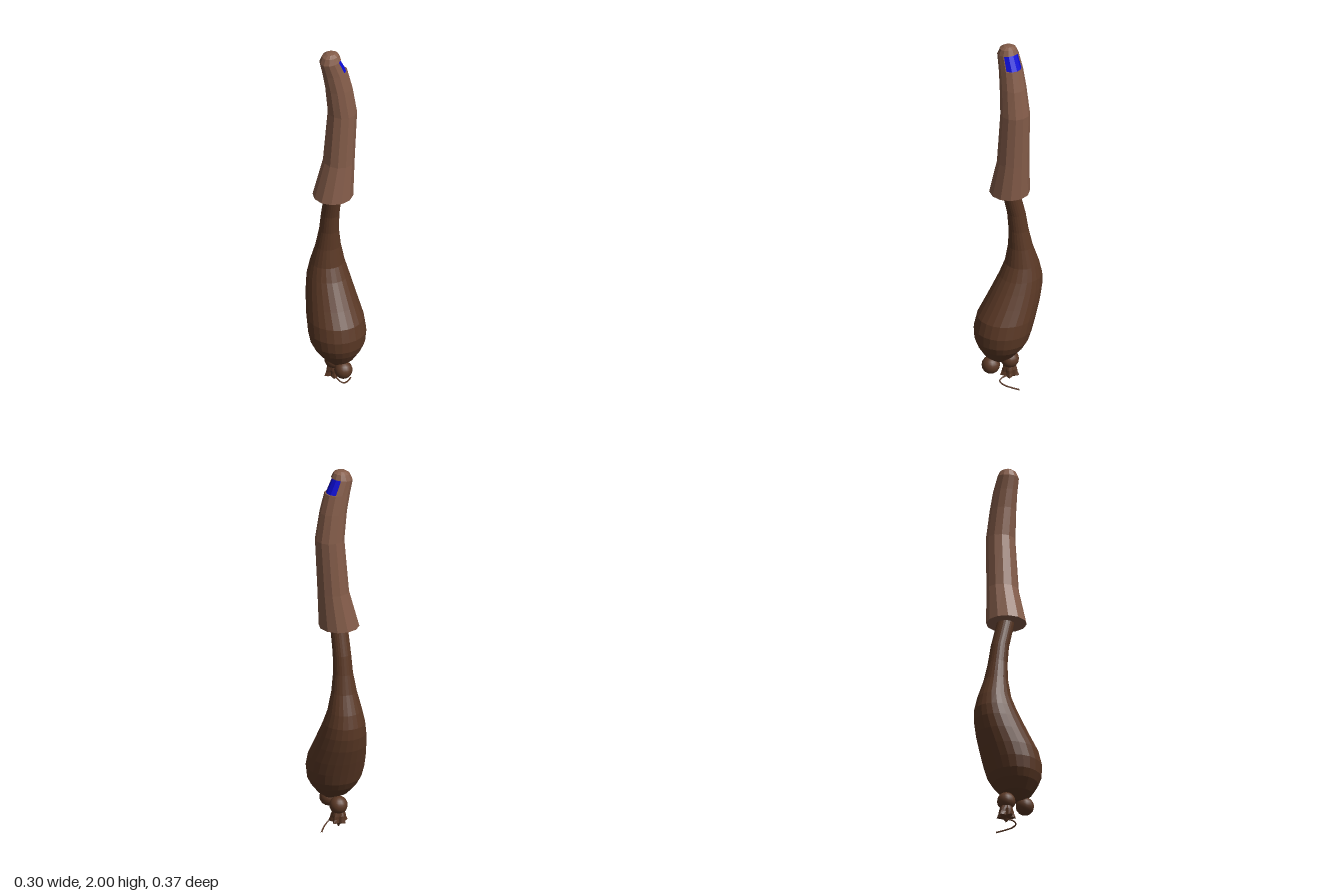
import * as THREE from 'three';
import { mergeGeometries } from 'three/addons/utils/BufferGeometryUtils.js';

const TAU = Math.PI * 2;

// Elliptical cross-section (or arc), optionally tilted towards +x
function ring([y, cx, cz, rx, rz, tilt = 0], n, a0 = 0, a1 = TAU, s = 1) {
  const pts = [];
  for (let j = 0; j <= n; j++) {
    const a = a0 + (a1 - a0) * j / n;
    const dx = Math.cos(a) * rx * s;
    pts.push(new THREE.Vector3(cx + dx, y + tilt * dx, cz + Math.sin(a) * rz * s));
  }
  return pts;
}

// Faceted skin across a list of rings, bottom to top
function loft(rings) {
  const pos = [];
  for (let i = 0; i < rings.length - 1; i++) {
    for (let j = 0; j < rings[i].length - 1; j++) {
      const a = rings[i][j], b = rings[i][j + 1], c = rings[i + 1][j], d = rings[i + 1][j + 1];
      for (const p of [a, c, b, b, c, d]) pos.push(p.x, p.y, p.z);
    }
  }
  const g = new THREE.BufferGeometry();
  g.setAttribute('position', new THREE.Float32BufferAttribute(pos, 3));
  g.computeVertexNormals();
  return g;
}

export function createModel() {
  const model = new THREE.Group();
  const material = (name, color) => {
    const m = new THREE.MeshStandardMaterial({ color });
    m.name = name;
    return m;
  };
  const lightBrown = material('lightBrown', 0x855d4a);
  const darkBrown = material('darkBrown', 0x5a3825);
  const blue = material('blue', 0x0c0cd8);
  const add = (name, geo, mat, x = 0, y = 0, z = 0) => {
    const m = new THREE.Mesh(geo, mat);
    m.name = name;
    m.position.set(x, y, z);
    model.add(m);
    return m;
  };

  // Bent sleeve with a flared, closed lower end: y, cx, cz, rx, rz, tilt
  const N = 12, W = Math.PI / 3, inset = 0.87;
  const low = [1.88, 0.008, -0.004, 0.067, 0.06, 0.06];
  const high = [1.955, -0.019, -0.004, 0.056, 0.054, 0.14];
  const body = [
    [1.14, -0.003, -0.004, 0, 0],
    [1.14, -0.003, -0.004, 0.104, 0.104],
    [1.34, 0.03, -0.004, 0.08, 0.084],
    [1.63, 0.05, -0.003, 0.075, 0.076],
    [1.78, 0.03, -0.003, 0.071, 0.067],
    low,
  ];
  const dome = [
    high,
    [1.985, -0.018, -0.004, 0.043, 0.042, 0.1],
    [1.997, -0.016, -0.004, 0.023, 0.023, 0.05],
    [2.0, -0.015, -0.004, 0, 0],
  ];
  add('sleeve', loft(body.map(s => ring(s, N))), lightBrown);
  add('domedTip', loft(dome.map(s => ring(s, N))), lightBrown);

  // Band around the window, its recess walls and the blue pane
  add('windowBand', loft([low, high].map(s => ring(s, 8, W, TAU - W))), lightBrown);
  const lo = ring(low, 4, -W, W), hi = ring(high, 4, -W, W);
  const loIn = ring(low, 4, -W, W, inset), hiIn = ring(high, 4, -W, W, inset);
  add('windowFrame', mergeGeometries([
    loft([lo, loIn]),
    loft([hiIn, hi]),
    loft([[lo[0], loIn[0]], [hi[0], hiIn[0]]]),
    loft([[loIn[4], lo[4]], [hiIn[4], hi[4]]]),
  ]), lightBrown);
  add('windowPane', loft([loIn, hiIn]), blue);

  // Gourd with a thin neck reaching into the sleeve: y, z front, z back, half width
  const gourd = [
    [0.16, 0.075, 0.075, 0], [0.165, 0.1, 0.05, 0.035], [0.2, 0.14, -0.02, 0.08],
    [0.25, 0.17, -0.065, 0.12], [0.29, 0.185, -0.09, 0.14], [0.35, 0.188, -0.112, 0.15],
    [0.42, 0.17, -0.138, 0.146], [0.5, 0.12, -0.165, 0.132], [0.57, 0.078, -0.18, 0.119],
    [0.63, 0.042, -0.181, 0.107], [0.7, 0.01, -0.165, 0.089], [0.8, -0.006, -0.13, 0.066],
    [0.9, -0.006, -0.107, 0.051], [1.0, 0.004, -0.09, 0.047], [1.14, 0.037, -0.053, 0.045],
    [1.22, 0.045, -0.04, 0.042],
  ];
  add('gourd', loft(gourd.map(([y, f, b, w]) =>
    ring([y, 0, (f + b) / 2, w, (f - b) / 2], 24))), darkBrown);

  // Two small beads below the gourd
  const bead = new THREE.SphereGeometry(0.047, 16, 12);
  add('frontBead', bead, darkBrown, 0, 0.145, 0.113);
  add('rearBead', bead, darkBrown, 0, 0.143, -0.003);

  // Five-lobed blossom end with a pointed tip
  const blossom = [[0.025, 0.002, 0], [0.045, 0.014, 0], [0.055, 0.04, 0.3], [0.075, 0.036, 0.2],
    [0.09, 0.036, 0.12], [0.115, 0.03, 0]];
  add('blossomEnd', loft(blossom.map(([y, r, lobe]) =>
    ring([y, 0, -0.003, r, r], 20).map((p, j) => {
      const k = 1 + lobe * Math.cos(5 * TAU * j / 20 + Math.PI);
      return p.set(p.x * k, p.y, -0.003 + (p.z + 0.003) * k);
    }))), darkBrown);

  // Thin curling tendril
  const curl = new THREE.CatmullRomCurve3([
    [0, 0.045, 0], [0.002, 0.047, 0.04], [0.012, 0.038, 0.066],
    [0.035, 0.026, 0.06], [0.065, 0.016, 0.035], [0.095, 0.005, 0],
  ].map(p => new THREE.Vector3(...p)));
  add('tendril', new THREE.TubeGeometry(curl, 24, 0.004, 6), darkBrown);

  return model;
}
